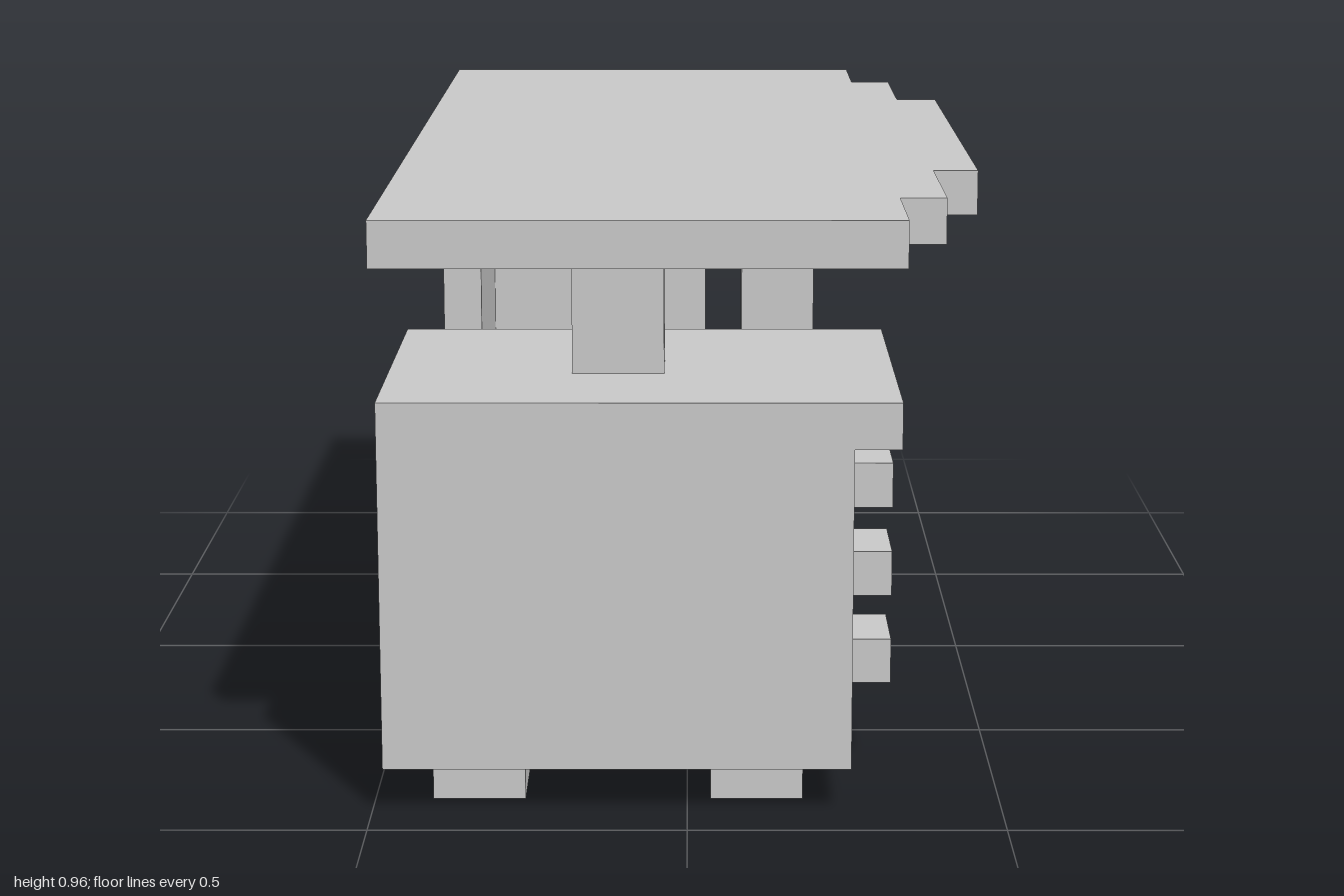
import * as THREE from 'three';

// The whole desk sits on a grid of 27 cells along its length.
const U = 2 / 27;

export function createModel() {
  const desk = new THREE.Group();
  desk.name = 'desk';
  const grey = new THREE.MeshStandardMaterial({ color: 0xcccccc });
  grey.name = 'lightGrey';

  const add = (name, geometry) => {
    const mesh = new THREE.Mesh(geometry, grey);
    mesh.name = name;
    desk.add(mesh);
    return mesh;
  };
  // Box from its low and high corners, in cells
  const box = (name, [x0, y0, z0], [x1, y1, z1]) => {
    const mesh = add(name, new THREE.BoxGeometry((x1 - x0) * U, (y1 - y0) * U, (z1 - z0) * U));
    mesh.position.set((x0 + x1) / 2 * U, (y0 + y1) / 2 * U, (z0 + z1) / 2 * U);
  };
  // Outline in cells, extruded by a depth in cells
  const extrude = (points, depth) => new THREE.ExtrudeGeometry(
    new THREE.Shape(points.map(([a, b]) => new THREE.Vector2(a * U, b * U))),
    { depth: depth * U, bevelEnabled: false });
  // Floor plan of [x, -z] points, raised from y0 to y1
  const plan = (name, points, y0, y1) => {
    const geometry = extrude(points, y1 - y0).rotateX(-Math.PI / 2);
    add(name, geometry).position.y = y0 * U;
  };

  // Desktop with a stepped, bowed edge
  plan('desktop', [
    [-6.5, -13.5], [4.5, -13.5], [4.5, -10.5], [5.5, -10.5], [5.5, -6.5], [6.5, -6.5],
    [6.5, 6.5], [5.5, 6.5], [5.5, 10.5], [4.5, 10.5], [4.5, 13.5], [-6.5, 13.5],
  ], 12, 13);

  // Corner support: two panels joined in an L
  plan('cornerPanel', [
    [-6.5, 6.5], [-5.5, 6.5], [-5.5, 12.5], [0.5, 12.5], [0.5, 13.5], [-6.5, 13.5],
  ], 0, 12);
  box('deskLeg', [1.5, 0, -12.5], [3.5, 12, -10.5]);

  // Drawer cabinet with an overhanging top
  add('drawerCabinet', extrude([
    [-6.5, 1], [3.5, 1], [3.5, 8], [4.5, 8], [4.5, 9], [-6.5, 9],
  ], 8)).position.z = 4.5 * U;
  box('desktopPost', [-2.5, 9, 7.5], [-0.5, 12, 9.5]);

  // Drawer handles
  for (const y of [2, 4, 6]) box('drawerHandle', [3.5, y, 7.5], [4.5, y + 1, 9.5]);

  // Cabinet feet
  for (const x of [-5.5, 0.5]) {
    for (const z of [5.5, 9.5]) box('cabinetFoot', [x, 0, z], [x + 2, 1, z + 2]);
  }
  return desk;
}
